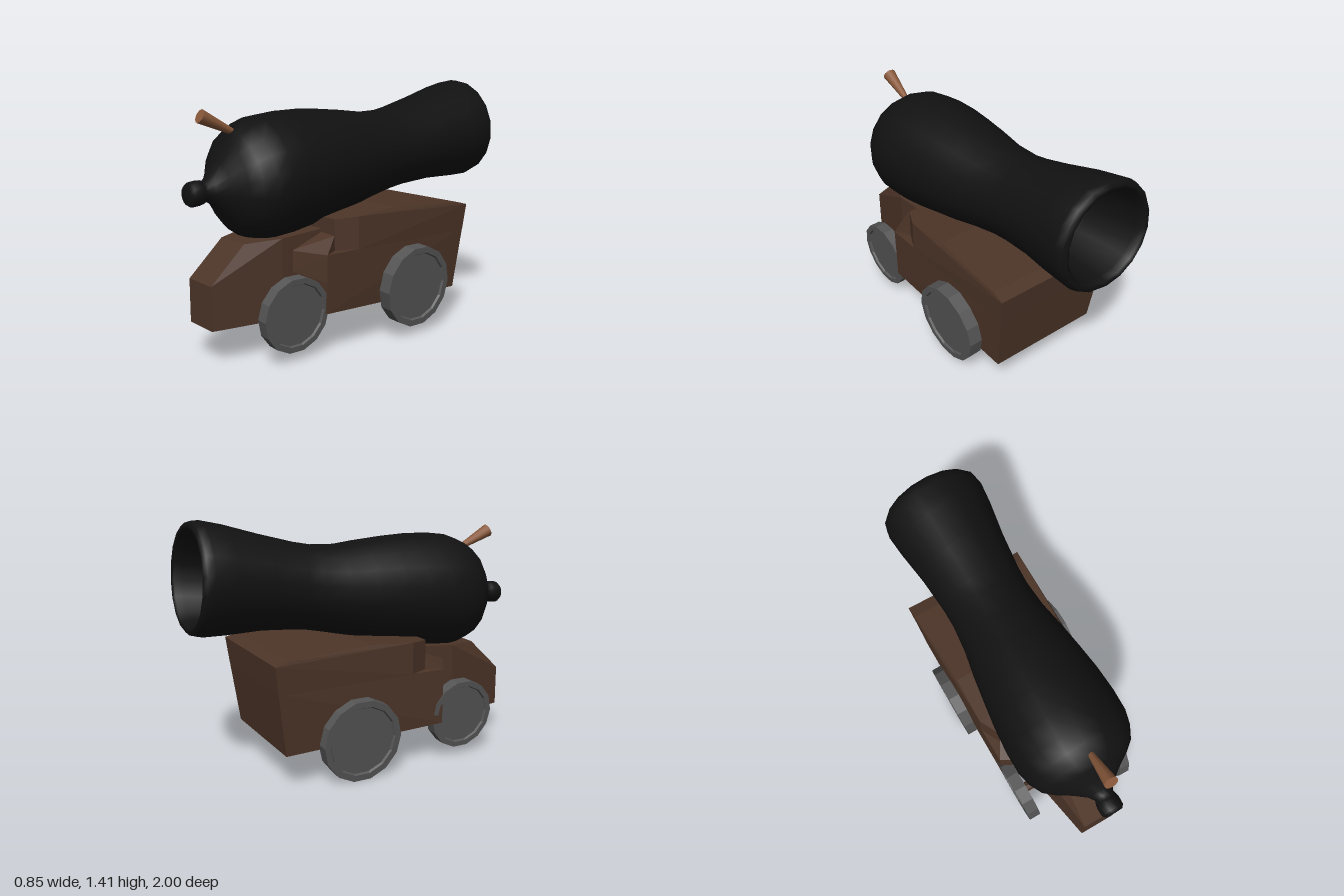
import * as THREE from 'three';
import { ConvexGeometry } from 'three/addons/geometries/ConvexGeometry.js';

const mat = (color, flatShading = false) =>
  new THREE.MeshStandardMaterial({ color, flatShading });
const iron = mat(0x111111);
const wood = mat(0x4d3528, true);
const wheelGrey = mat(0x555555, true);
const fuseBrown = mat(0x8b5a3c);

function add(parent, name, geometry, material) {
  const mesh = new THREE.Mesh(geometry, material);
  mesh.name = name;
  parent.add(mesh);
  return mesh;
}

// Solid block around corner points; with mirror each point is repeated at -x
function block(points, mirror = true) {
  const corners = [];
  for (const [x, y, z] of points) {
    corners.push(new THREE.Vector3(x, y, z));
    if (mirror) corners.push(new THREE.Vector3(-x, y, z));
  }
  return new ConvexGeometry(corners);
}

// Barrel: radius and z along the axis, from the bore out over the lip to the knob
function barrelGeometry() {
  const profile = [
    [0, -0.4], [0.19, -0.4], [0.21, -0.65], [0.245, -0.93], [0.255, -0.97],
    [0.275, -0.98], [0.293, -0.96], [0.3, -0.92], [0.288, -0.8], [0.257, -0.6],
    [0.238, -0.4], [0.236, -0.3], [0.25, -0.15], [0.278, 0], [0.3, 0.15],
    [0.32, 0.3], [0.331, 0.45], [0.33, 0.57], [0.31, 0.65], [0.273, 0.72],
    [0.22, 0.765], [0.14, 0.815], [0.075, 0.865], [0.054, 0.895], [0.062, 0.92],
    [0.065, 0.94], [0.064, 0.98], [0.05, 0.998], [0, 1],
  ].map(([r, z]) => new THREE.Vector2(r, z));
  const g = new THREE.LatheGeometry(profile, 18);
  g.rotateX(Math.PI / 2);
  // Raise the muzzle along a gently bent centre line and lean the rings with it
  const p = g.attributes.position;
  for (let i = 0; i < p.count; i++) {
    const y = p.getY(i), z = p.getZ(i);
    const centre = 1.007 - 0.122 * z - 0.022 * Math.exp(-((z + 0.2) ** 2) / 0.1);
    p.setY(i, y + centre);
    p.setZ(i, z + 0.06 * y);
  }
  return g;
}

// Wheel: faceted rim with a shallow recessed disc on both faces, axis along x
function wheelGeometry(r, width) {
  const h = width / 2, d = h - 0.012;
  const profile = [
    [0, -d], [r * 0.82, -d], [r * 0.85, -h], [r, -h],
    [r, h], [r * 0.85, h], [r * 0.82, d], [0, d],
  ].map(([x, y]) => new THREE.Vector2(x, y));
  return new THREE.LatheGeometry(profile, 14).rotateZ(Math.PI / 2);
}

export function createModel() {
  const model = new THREE.Group();
  model.name = 'cannon';

  add(model, 'barrel', barrelGeometry(), iron).position.x = -0.014;

  // Fuse, flaring toward its free end
  const fuse = add(model, 'fuse', new THREE.CylinderGeometry(0.038, 0.016, 0.21, 12), fuseBrown);
  const from = new THREE.Vector3(-0.014, 1.185, 0.715);
  const to = new THREE.Vector3(-0.022, 1.275, 0.905);
  fuse.position.lerpVectors(from, to, 0.5);
  fuse.quaternion.setFromUnitVectors(new THREE.Vector3(0, 1, 0), to.clone().sub(from).normalize());

  // Carriage
  const carriage = new THREE.Group();
  carriage.name = 'carriage';
  carriage.position.x = -0.01;
  model.add(carriage);

  add(carriage, 'carriageBed', block([
    [0.335, 0.205, -0.59], [0.36, 0.56, -0.637], [0.34, 0.23, 0.38], [0.345, 0.55, 0.38],
  ]), wood);
  add(carriage, 'carriageTop', block([
    [0.36, 0.55, -0.636], [0.372, 0.705, -0.655], [0.365, 0.725, -0.58],
    [0.345, 0.75, -0.1], [0.35, 0.55, 0.17], [0.35, 0.73, 0.17],
    [0.29, 0.72, 0.29], [0.29, 0.55, 0.29],
  ]), wood);
  add(carriage, 'carriageNose', block([
    [0.108, 0.195, 0.94], [0.108, 0.43, 0.94], [0.108, 0.62, 0.74],
    [0.18, 0.2, 0.55], [0.18, 0.635, 0.55], [0.18, 0.23, 0.28], [0.18, 0.655, 0.28],
  ]), wood);

  // Sloped shoulders joining the nose to the wider bed
  for (const s of [1, -1]) {
    add(carriage, s > 0 ? 'leftShoulder' : 'rightShoulder', block([
      [s * 0.17, 0.45, 0.49], [s * 0.17, 0.56, 0.49], [s * 0.345, 0.55, 0.38],
      [s * 0.34, 0.4, 0.38], [s * 0.17, 0.4, 0.38], [s * 0.17, 0.64, 0.28],
      [s * 0.29, 0.63, 0.29], [s * 0.29, 0.4, 0.28],
    ], false), wood);
  }

  // Wheels, cambered outward at the top and set slightly unevenly
  const wheels = [
    ['frontLeftWheel', 0.285, 0.258, 0.562, 0.203, 0.065],
    ['frontRightWheel', -0.315, 0.26, 0.52, 0.203, 0.07],
    ['rearLeftWheel', 0.37, 0.289, -0.223, 0.234, 0.08],
    ['rearRightWheel', -0.372, 0.236, -0.165, 0.234, 0.075],
  ];
  for (const [name, x, y, z, r, width] of wheels) {
    const wheel = add(model, name, wheelGeometry(r, width), wheelGrey);
    wheel.position.set(x, y, z);
    wheel.rotation.z = -Math.sign(x) * 0.065;
  }

  // Axles running under the carriage
  for (const [name, y, z, length] of [['frontAxle', 0.26, 0.54, 0.58], ['rearAxle', 0.265, -0.195, 0.7]]) {
    const axle = add(model, name, new THREE.CylinderGeometry(0.03, 0.03, length, 8), wood);
    axle.rotation.z = Math.PI / 2;
    axle.position.set(-0.01, y, z);
  }

  return model;
}
